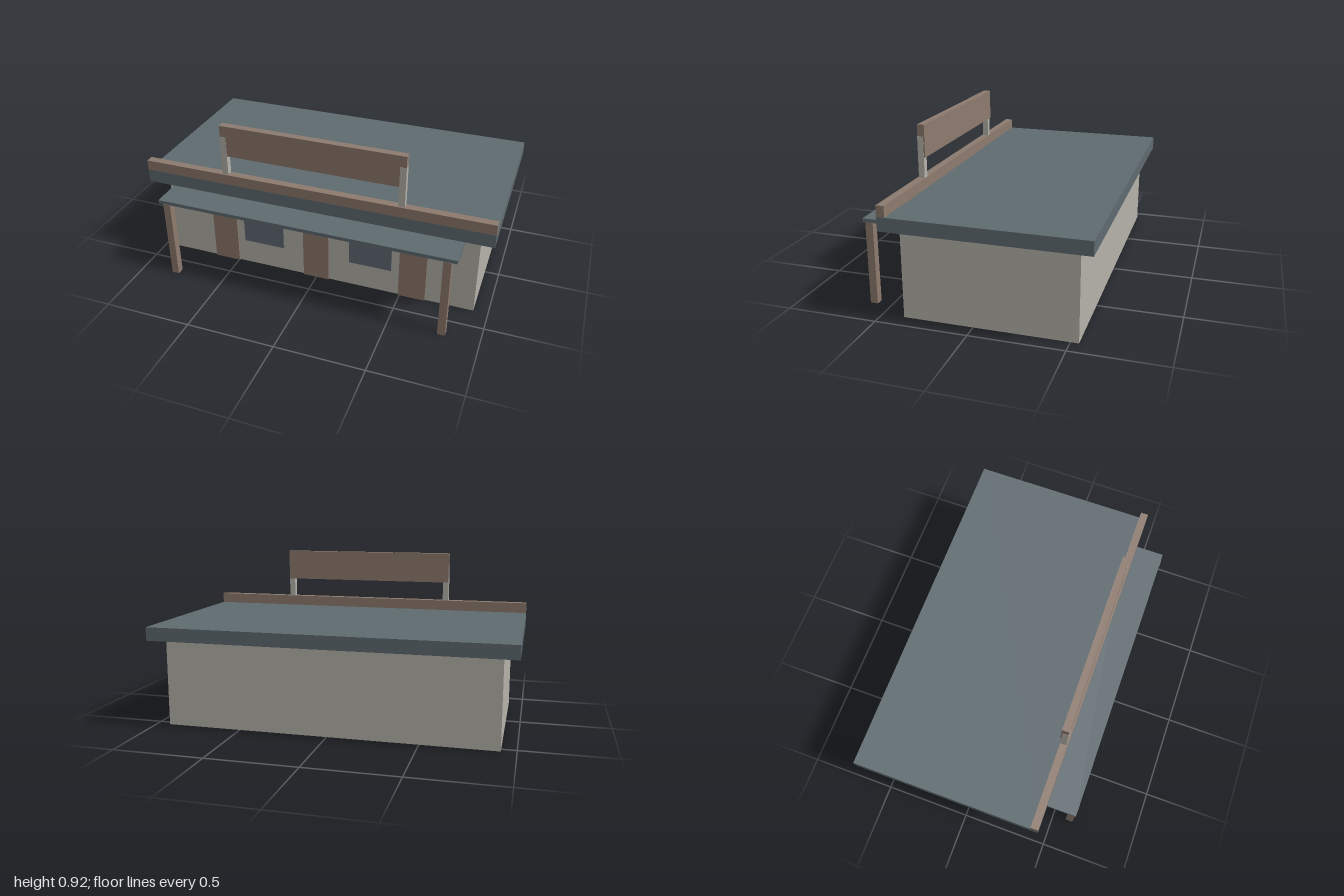
import * as THREE from 'three';

const material = (name, color) => {
  const m = new THREE.MeshStandardMaterial({ color });
  m.name = name;
  return m;
};

export function createModel() {
  const plaster = material('plaster', 0xb5b2aa);
  const wood = material('wood', 0x8d7a6e);
  const slate = material('slate', 0x5f6b70);
  const glass = material('glass', 0x5f6a72);

  const model = new THREE.Group();
  model.name = 'storefront';

  // Box given by its extents along each axis
  const box = (name, mat, [x0, x1], [y0, y1], [z0, z1]) => {
    const mesh = new THREE.Mesh(new THREE.BoxGeometry(x1 - x0, y1 - y0, z1 - z0), mat);
    mesh.position.set((x0 + x1) / 2, (y0 + y1) / 2, (z0 + z1) / 2);
    mesh.name = name;
    model.add(mesh);
  };

  // Building shell, roof slab and parapet
  box('walls', plaster, [-0.92, 0.92], [0.003, 0.495], [-0.545, 0.375]);
  box('roof', slate, [-1, 1], [0.495, 0.57], [-0.62, 0.455]);
  box('parapet', wood, [-1, 1], [0.57, 0.63], [0.411, 0.455]);

  // Porch canopy
  box('canopy', slate, [-0.845, 0.845], [0.471, 0.491], [0.375, 0.62]);

  // Three doors
  for (const x of [-0.57, 0, 0.57]) {
    box('door', wood, [x - 0.077, x + 0.077], [0.003, 0.355], [0.375, 0.384]);
  }

  // Lamp box above the middle door
  box('lamp', plaster, [-0.051, 0.051], [0.389, 0.431], [0.388, 0.432]);

  // Sign board
  box('signBoard', wood, [-0.521, 0.521], [0.744, 0.924], [0.405, 0.445]);

  // Mirrored parts; the sign posts stand just proud of the board
  for (const side of [-1, 1]) {
    const span = (a, b) => (side > 0 ? [a, b] : [-b, -a]);
    box('porchPost', wood, span(0.774, 0.816), [0, 0.471], [0.58, 0.622]);
    box('window', glass, span(0.2, 0.447), [0.157, 0.34], [0.375, 0.382]);
    box('signPost', plaster, span(0.487, 0.522), [0.63, 0.86], [0.412, 0.446]);
  }
  return model;
}
